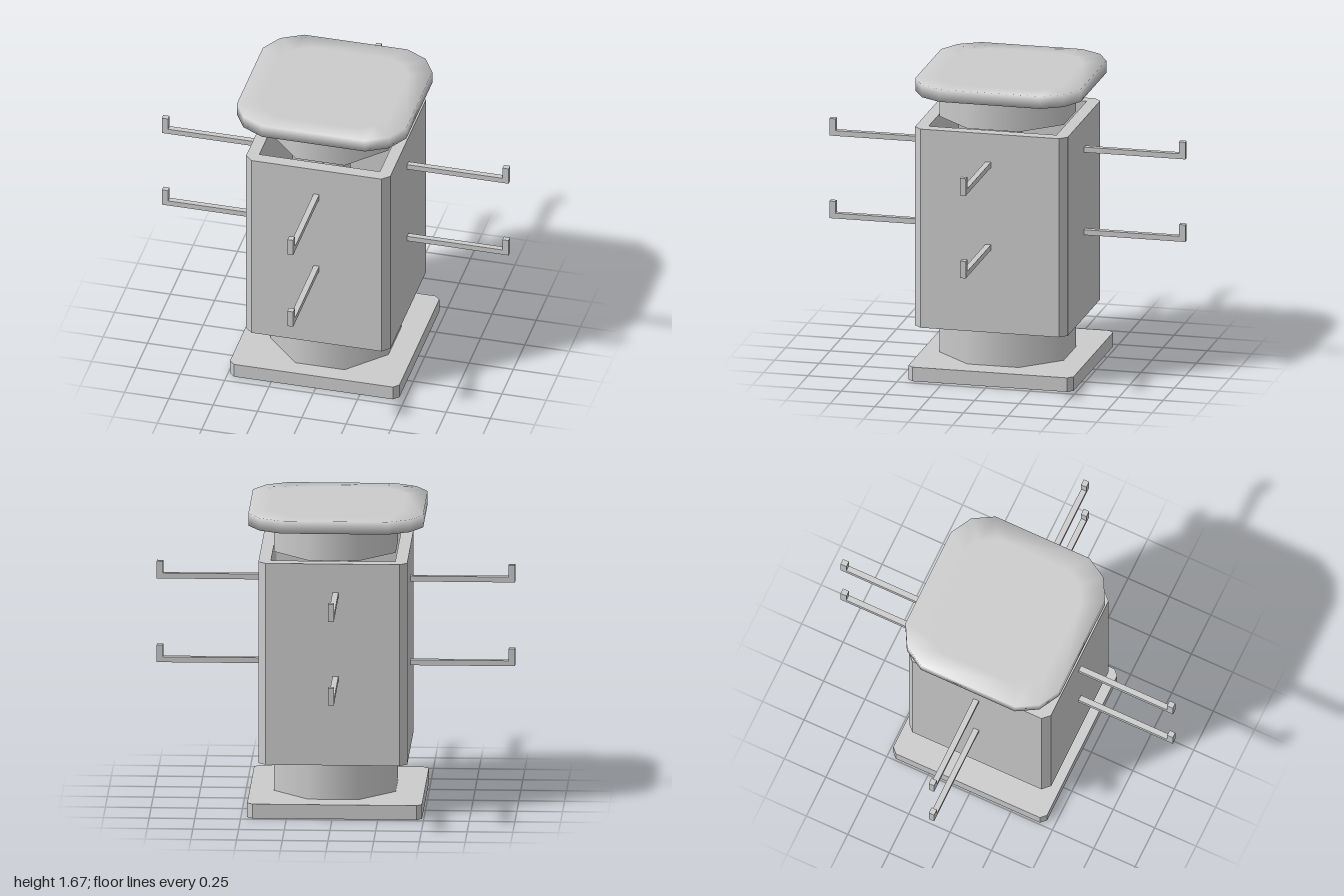
import * as THREE from 'three';

const material = new THREE.MeshStandardMaterial({ color: 0xcccccc, side: THREE.DoubleSide });

function add(parent, name, geometry, x = 0, y = 0, z = 0) {
  const mesh = new THREE.Mesh(geometry, material);
  mesh.name = name;
  mesh.position.set(x, y, z);
  parent.add(mesh);
  return mesh;
}

// Rectangle path with chamfered corners
function chamferedRect(halfX, halfZ, c) {
  return new THREE.Shape([
    [halfX, -halfZ + c], [halfX, halfZ - c], [halfX - c, halfZ], [-halfX + c, halfZ],
    [-halfX, halfZ - c], [-halfX, -halfZ + c], [-halfX + c, -halfZ], [halfX - c, -halfZ],
  ].map(([x, z]) => new THREE.Vector2(x, z)));
}

// Shape in plan, raised from y = 0 to the given height
function raise(shape, height) {
  return new THREE.ExtrudeGeometry(shape, { depth: height, bevelEnabled: false }).rotateX(-Math.PI / 2);
}

// Cushioned lid: stacked rings with shared, smooth normals
function lidGeometry(halfX, halfZ, bottom, top) {
  const corner = [[1, 0.61], [0.86, 0.86], [0.61, 1]];
  const outline = [];
  for (const [sx, sz] of [[1, 1], [-1, 1], [-1, -1], [1, -1]]) {
    const points = corner.map(([x, z]) => [x * sx * halfX, z * sz * halfZ]);
    outline.push(...(sx * sz > 0 ? points : points.reverse()));
  }
  const rings = [[0, bottom], [0.74, bottom], [1, bottom], [1, top], [0.76, top], [0, top]];
  const n = outline.length;
  const positions = [], index = [];
  rings.forEach(([s, y]) => outline.forEach(([x, z]) => positions.push(x * s, y, z * s)));
  for (let r = 0; r < rings.length - 1; r++) {
    for (let i = 0; i < n; i++) {
      const j = (i + 1) % n;
      const a = r * n + i, b = r * n + j, c = a + n, d = b + n;
      index.push(a, c, b, b, c, d);
    }
  }
  const geometry = new THREE.BufferGeometry();
  geometry.setAttribute('position', new THREE.Float32BufferAttribute(positions, 3));
  geometry.setIndex(index);
  geometry.computeVertexNormals();
  return geometry;
}

// Eight-sided drum with flats facing front and sides
function drumGeometry(height) {
  const apothem = Math.cos(Math.PI / 8);
  return new THREE.CylinderGeometry(1, 1, height, 8)
    .rotateY(Math.PI / 8)
    .scale(0.333 / apothem, 1, 0.35 / apothem);
}

export function createModel() {
  const group = new THREE.Group();

  // Base plate, lid and the drums next to them
  add(group, 'basePlate', raise(chamferedRect(0.478, 0.465, 0.03), 0.08), -0.012, 0, -0.015);
  add(group, 'lid', lidGeometry(0.478, 0.465, 1.6, 1.67), -0.012, 0, -0.015);
  add(group, 'lowerDrum', drumGeometry(0.21), 0, 0.185, 0);
  add(group, 'upperDrum', drumGeometry(0.18), 0, 1.51, 0);
  add(group, 'core', new THREE.CylinderGeometry(0.08, 0.08, 1.13, 8), 0, 0.855, 0);

  // Hollow body, open at top and bottom
  const body = chamferedRect(0.407, 0.43, 0.04);
  body.holes.push(new THREE.Path([
    [-0.34, -0.36], [-0.34, 0.36], [0.34, 0.36], [0.34, -0.36],
  ].map(([x, z]) => new THREE.Vector2(x, z))));
  add(group, 'body', raise(body, 1.13), 0, 0.29, 0);

  // Two rows of hooks, one on each side of the body
  const sides = [
    { name: 'front', turn: 0, wall: 0.42, reach: 1, x: 0, z: 0 },
    { name: 'left', turn: Math.PI / 2, wall: 0.4, reach: 0.98, x: 0, z: 0.008 },
    { name: 'back', turn: Math.PI, wall: 0.42, reach: 1, x: -0.016, z: 0 },
    { name: 'right', turn: -Math.PI / 2, wall: 0.4, reach: 0.98, x: 0, z: -0.004 },
  ];
  for (const y of [0.76, 1.23]) {
    for (const side of sides) {
      const { wall, reach } = side;
      const tip = reach - 0.035;
      const profile = new THREE.Shape([
        [wall, 0], [reach, 0], [reach, 0.097], [tip, 0.097], [tip, 0.03], [wall, 0.03],
      ].map(([u, v]) => new THREE.Vector2(u, v)));
      const geometry = new THREE.ExtrudeGeometry(profile, { depth: 0.032, bevelEnabled: false })
        .translate(0, 0, -0.016)
        .rotateY(-Math.PI / 2);
      const hook = add(group, side.name + 'Hook', geometry, side.x, y, side.z);
      hook.rotation.y = side.turn;
    }
  }
  return group;
}
